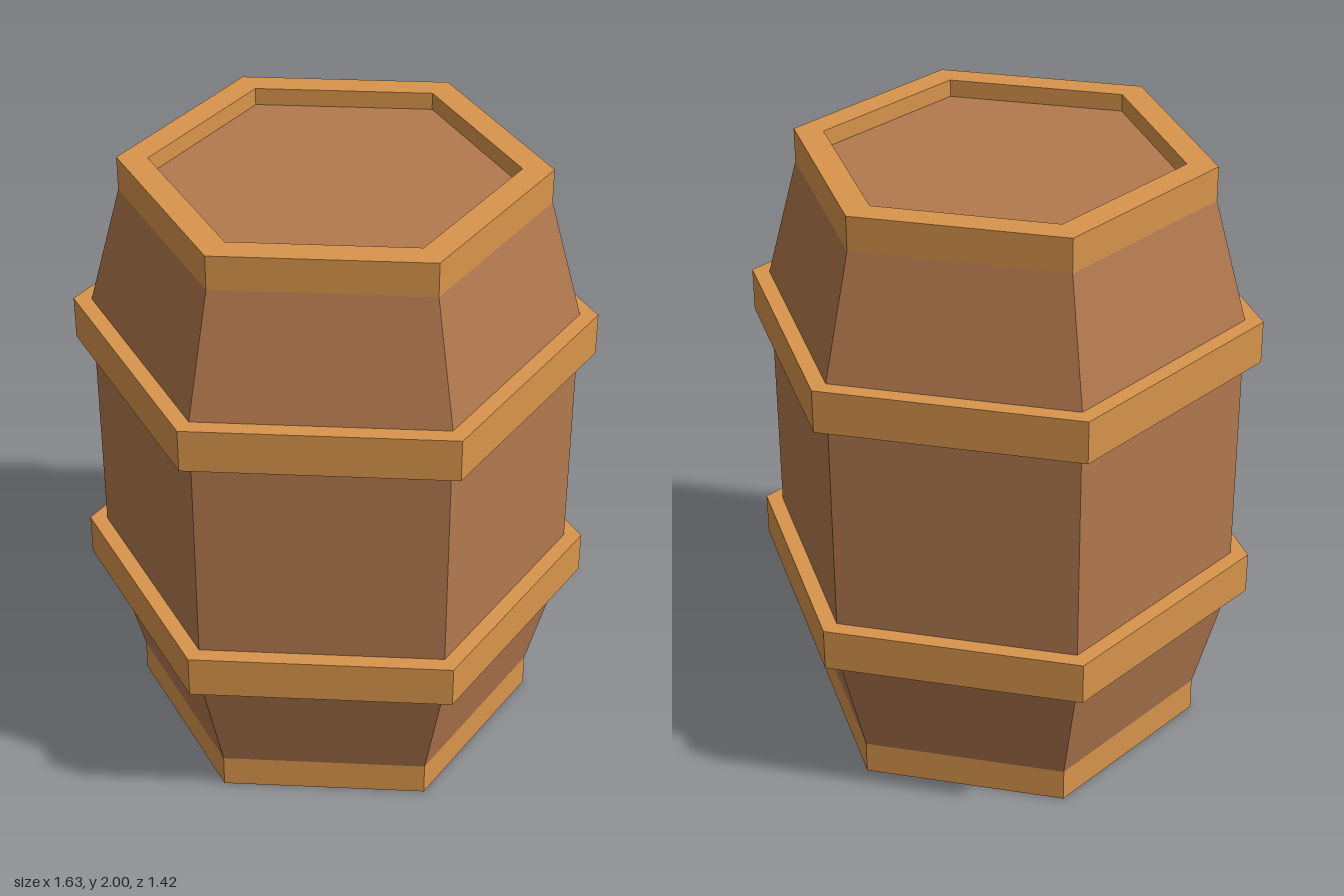
import * as THREE from 'three';

export function createModel() {
  const barrel = new THREE.Group();
  barrel.name = 'barrel';

  const wood = new THREE.MeshStandardMaterial({ color: 0xb3794f, flatShading: true });
  wood.name = 'brown wood';
  const trim = new THREE.MeshStandardMaterial({ color: 0xd9954c, flatShading: true });
  trim.name = 'golden trim';

  const END = 0.655, BELLY = 0.76, BAND = 0.817, INNER = 0.56;
  const RIM = 0.11, RECESS = 0.056;

  // Six-sided ring or disc from [radius, height] points, with corners on the x axis
  function hexPart(name, profile, material) {
    const points = profile.map(([r, y]) => new THREE.Vector2(r, y));
    const geometry = new THREE.LatheGeometry(points, 6, Math.PI / 2);
    const mesh = new THREE.Mesh(geometry, material);
    mesh.name = name;
    barrel.add(mesh);
  }

  // Staves: tapered ends and straight belly between the bands
  hexPart('lowerStaves', [[END, RIM], [BELLY, 0.505]], wood);
  hexPart('middleStaves', [[BELLY, 0.645], [BELLY, 1.36]], wood);
  hexPart('upperStaves', [[BELLY, 1.5], [END, 2 - RIM]], wood);

  // Raised bands
  for (const [name, low, high] of [['lowerBand', 0.505, 0.645], ['upperBand', 1.36, 1.5]]) {
    hexPart(name, [[BELLY, low], [BAND, low], [BAND, high], [BELLY, high]], trim);
  }

  // End rims with their recessed inner walls
  hexPart('bottomRim', [[INNER, RECESS], [INNER, 0], [END, 0], [END, RIM]], trim);
  hexPart('topRim', [[END, 2 - RIM], [END, 2], [INNER, 2], [INNER, 2 - RECESS]], trim);

  // Recessed end panels
  hexPart('bottomPanel', [[0, RECESS], [INNER, RECESS]], wood);
  hexPart('lid', [[INNER, 2 - RECESS], [0, 2 - RECESS]], wood);

  return barrel;
}
